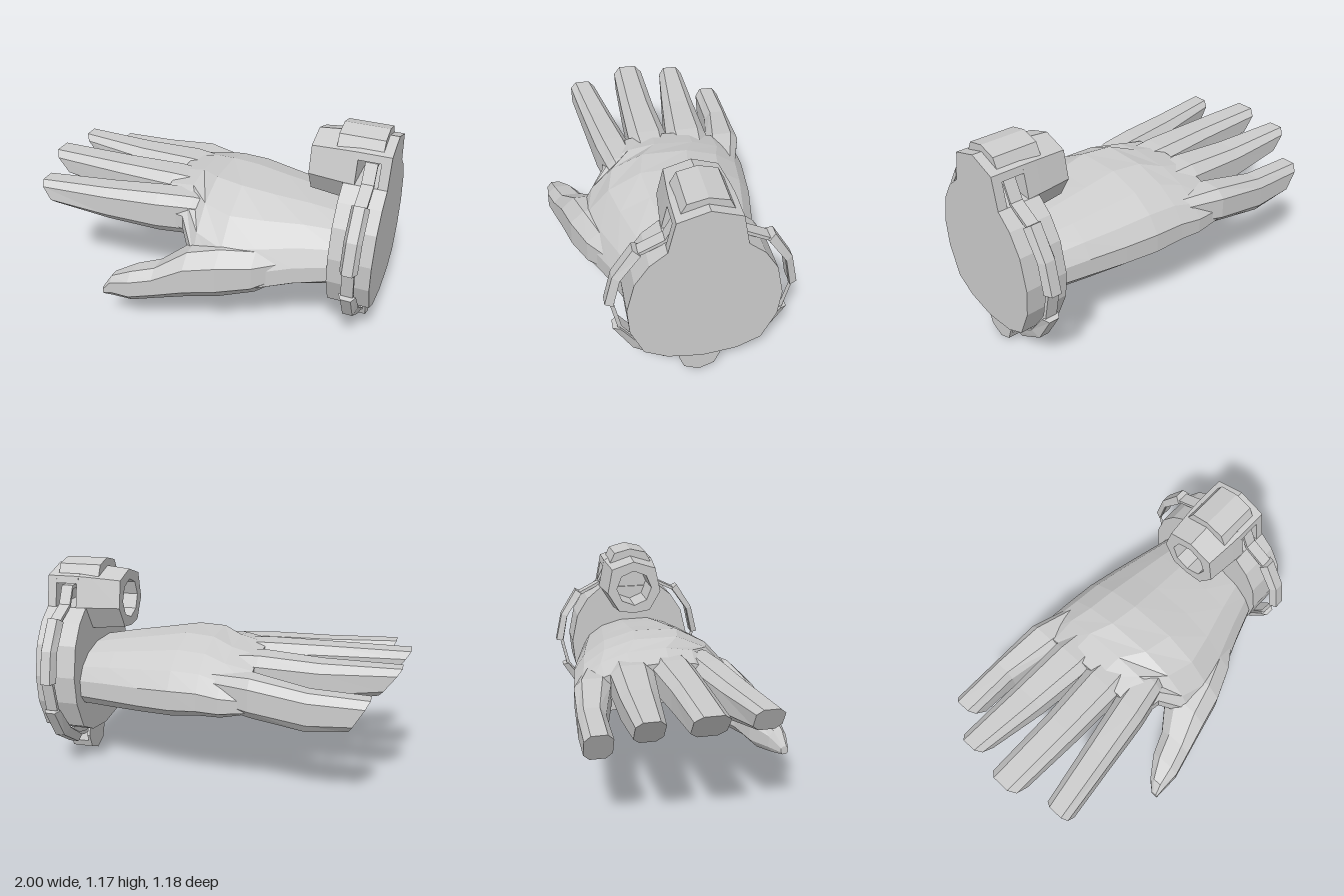
import * as THREE from 'three';

const material = new THREE.MeshStandardMaterial({ color: 0xcccccc, flatShading: true });
const MID = -0.103; // z of the cuff's plane of symmetry

function addMesh(parent, name, geometry) {
  const mesh = new THREE.Mesh(geometry, material);
  mesh.name = name;
  parent.add(mesh);
  return mesh;
}

// Skin over a row of rings of [x, y, z] points, capped at both ends
function loft(rings) {
  const n = rings[0].length, pos = [], index = [];
  const centre = (r) => [0, 1, 2].map((k) => r.reduce((s, p) => s + p[k], 0) / n);
  rings.forEach((r) => r.forEach((p) => pos.push(...p)));
  pos.push(...centre(rings[0]), ...centre(rings[rings.length - 1]));
  const first = rings.length * n, last = (rings.length - 1) * n;
  for (let j = 0; j < n; j++) {
    const k = (j + 1) % n;
    for (let i = 0; i < rings.length - 1; i++) {
      const a = i * n + j, b = i * n + k;
      index.push(a, b, b + n, a, b + n, a + n);
    }
    index.push(first, k, j, first + 1, last + j, last + k);
  }
  const g = new THREE.BufferGeometry();
  g.setAttribute('position', new THREE.Float32BufferAttribute(pos, 3));
  g.setIndex(index);
  g.computeVertexNormals();
  return g;
}

// Rounded-box cross-section; shear tilts it so its top reaches further along -x
function section([x, z, y, hz, hy, shear = 0], sides, power) {
  const soft = (v) => Math.sign(v) * Math.pow(Math.abs(v), power);
  const edge = soft(Math.cos(Math.PI / sides));
  return Array.from({ length: sides }, (_, i) => {
    const a = ((i + 0.5) / sides) * Math.PI * 2;
    const dy = (soft(Math.sin(a)) / edge) * hy;
    return [x - shear * dy, y + dy, z + (soft(Math.cos(a)) / edge) * hz];
  });
}

// Outlines are [z, y]; a half outline is completed by reflection
const mirrored = (half) => [
  ...half, ...half.filter(([z]) => z > 0).reverse().map(([z, y]) => [-z, y]),
];
const toPoints = (pts) => pts.map(([z, y]) => new THREE.Vector2(-z, y));
function slab(pts, x0, x1, hole) {
  const shape = new THREE.Shape(toPoints(pts));
  if (hole) shape.holes.push(new THREE.Path(toPoints(hole)));
  const g = new THREE.ExtrudeGeometry(shape, { depth: x1 - x0, bevelEnabled: false });
  return g.rotateY(Math.PI / 2).translate(x0, 0, 0);
}

function createHand() {
  const hand = new THREE.Group();
  hand.name = 'hand';

  // Palm and wrist, drooping towards the little finger and the thumb root
  const palm = [
    [0.8, -0.08, 0.53, 0.33, 0.165], [0.6, -0.07, 0.55, 0.385, 0.18],
    [0.4, -0.055, 0.57, 0.445, 0.19], [0.22, -0.045, 0.59, 0.49, 0.2],
    [0.06, -0.075, 0.605, 0.475, 0.182], [-0.06, -0.15, 0.605, 0.415, 0.155],
    [-0.21, -0.16, 0.61, 0.4, 0.115],
  ].map((r) => section(r, 16, 0.82));
  palm.forEach((ring) => ring.forEach((p) => {
    const droop = p[2] < 0 ? 0.42 * Math.max(0, -p[2] - 0.1) ** 2
      : (p[0] > 0 ? 1.15 : 0.4) * p[2] ** 2;
    p[1] -= droop;
  }));
  addMesh(hand, 'palm', loft(palm));

  // Digits: rows of [x, z, y, half width, half height, tip shear]
  const digits = {
    littleFinger: [
      [0.15, -0.4, 0.58, 0.06, 0.07], [-0.22, -0.48, 0.565, 0.1, 0.105],
      [-0.52, -0.522, 0.525, 0.073, 0.103], [-0.78, -0.525, 0.53, 0.072, 0.085, 0.6],
    ],
    ringFinger: [
      [0.15, -0.25, 0.63, 0.08, 0.07], [-0.22, -0.26, 0.62, 0.12, 0.11],
      [-0.55, -0.28, 0.615, 0.1, 0.1], [-0.91, -0.302, 0.645, 0.073, 0.075, 0.75],
    ],
    middleFinger: [
      [0.15, -0.03, 0.65, 0.08, 0.07], [-0.22, -0.03, 0.63, 0.114, 0.11],
      [-0.55, -0.02, 0.64, 0.1, 0.098], [-0.94, -0.02, 0.66, 0.09, 0.076, 0.77],
    ],
    indexFinger: [
      [0.15, 0.12, 0.6, 0.06, 0.08], [-0.02, 0.15, 0.595, 0.09, 0.12],
      [-0.22, 0.182, 0.595, 0.098, 0.12],
      [-0.52, 0.23, 0.605, 0.088, 0.1], [-0.87, 0.291, 0.635, 0.075, 0.068, 0.55],
    ],
    thumb: [
      [0.58, 0.19, 0.46, 0.1, 0.08], [0.4, 0.27, 0.42, 0.14, 0.13],
      [0.22, 0.33, 0.405, 0.152, 0.152], [0.05, 0.375, 0.375, 0.145, 0.145],
      [-0.12, 0.458, 0.31, 0.1, 0.1], [-0.25, 0.498, 0.28, 0.09, 0.095],
      [-0.36, 0.535, 0.262, 0.05, 0.066], [-0.41, 0.562, 0.225, 0.02, 0.024],
    ],
  };
  for (const [name, rows] of Object.entries(digits)) {
    const power = name === 'thumb' ? 0.8 : 0.65;
    addMesh(hand, name, loft(rows.map((r) => section(r, 8, power))));
  }
  return hand;
}

function createCuff() {
  const cuff = new THREE.Group();
  cuff.name = 'cuff';
  cuff.position.z = MID;

  // Solid bracelet and the end plate that rises behind the barrel
  const rim = [
    [0, 0.175], [0.18, 0.2], [0.3, 0.26], [0.37, 0.42], [0.383, 0.57],
    [0.345, 0.74], [0.275, 0.85], [0.19, 0.92],
  ];
  addMesh(cuff, 'bracelet', slab(mirrored(rim), 0.77, 0.95));
  addMesh(cuff, 'endPlate', slab(mirrored([...rim, [0.155, 1.09], [0, 1.14]]), 0.95, 1));

  // Thin ring passing through the barrel housing and the lower clasp
  const ring = mirrored([
    [0, 0.12], [0.1, 0.125], [0.18, 0.15], [0.32, 0.245], [0.42, 0.39], [0.455, 0.555],
    [0.42, 0.73], [0.32, 0.87], [0.19, 0.935], [0.14, 1.035], [0, 1.035],
  ]);
  const inner = ring.map(([z, y]) => [z * 0.955, 0.58 + (y - 0.58) * 0.955]);
  addMesh(cuff, 'thinRing', slab(ring, 0.865, 0.93, inner));

  // Four guards around the ring, narrower on the outside: [outer z, y, inner z, y]
  const guards = {
    upperGuard: [[0.34, 0.89, 0.305, 0.865], [0.44, 0.73, 0.405, 0.72], [0.48, 0.555, 0.44, 0.555]],
    lowerGuard: [[0.445, 0.38, 0.41, 0.39], [0.345, 0.215, 0.305, 0.25], [0.18, 0.11, 0.165, 0.15]],
  };
  for (const [name, rows] of Object.entries(guards))
    for (const side of [1, -1]) {
      const rings = rows.map(([oz, oy, iz, iy]) => [
        [0.85, iy, iz * side], [0.945, iy, iz * side],
        [0.925, oy, oz * side], [0.87, oy, oz * side],
      ]);
      addMesh(cuff, name, loft(side > 0 ? rings : rings.reverse()));
    }

  // Lower clasp: two cheeks and a floor
  const cheek = mirrored([[0, 0.005], [0.08, 0.04], [0.11, 0.12], [0.085, 0.19], [0, 0.2]]);
  for (const x of [0.83, 0.935]) addMesh(cuff, 'claspCheek', slab(cheek, x, x + 0.015));
  const floor = mirrored([[0, 0.005], [0.08, 0.04], [0.095, 0.08], [0, 0.08]]);
  addMesh(cuff, 'claspFloor', slab(floor, 0.845, 0.935));

  // Barrel with an octagonal bore, tapering towards its mouth
  const profile = [
    [0.19, 0.92], [0.155, 1.09], [0, 1.14], [-0.155, 1.09],
    [-0.19, 0.92], [-0.11, 0.785], [0, 0.77], [0.11, 0.785],
  ];
  const outer = (x, s) => profile.map(([z, y]) => [x, 0.95 + (y - 0.95) * s, z * s]);
  const bore = (x) => profile.map((_, i) => {
    const a = (i * Math.PI) / 4;
    return [x, 0.95 + 0.11 * Math.sin(a), 0.11 * Math.cos(a)];
  });
  addMesh(cuff, 'barrel', loft([outer(0.83, 1), outer(0.75, 0.97), outer(0.58, 0.88), bore(0.58), bore(0.78)]));

  // Roof bridging the barrel and end plate, with a raised top pad
  addMesh(cuff, 'roof', slab(mirrored([[0, 1.05], [0.163, 1.05], [0.155, 1.09], [0, 1.14]]), 0.82, 0.96));
  addMesh(cuff, 'topPad', slab(mirrored([[0, 1.09], [0.13, 1.09], [0.1, 1.15], [0, 1.175]]), 0.71, 0.95));
  return cuff;
}

export function createModel() {
  const model = new THREE.Group();
  model.name = 'handWithCuff';
  model.add(createHand(), createCuff());
  return model;
}
